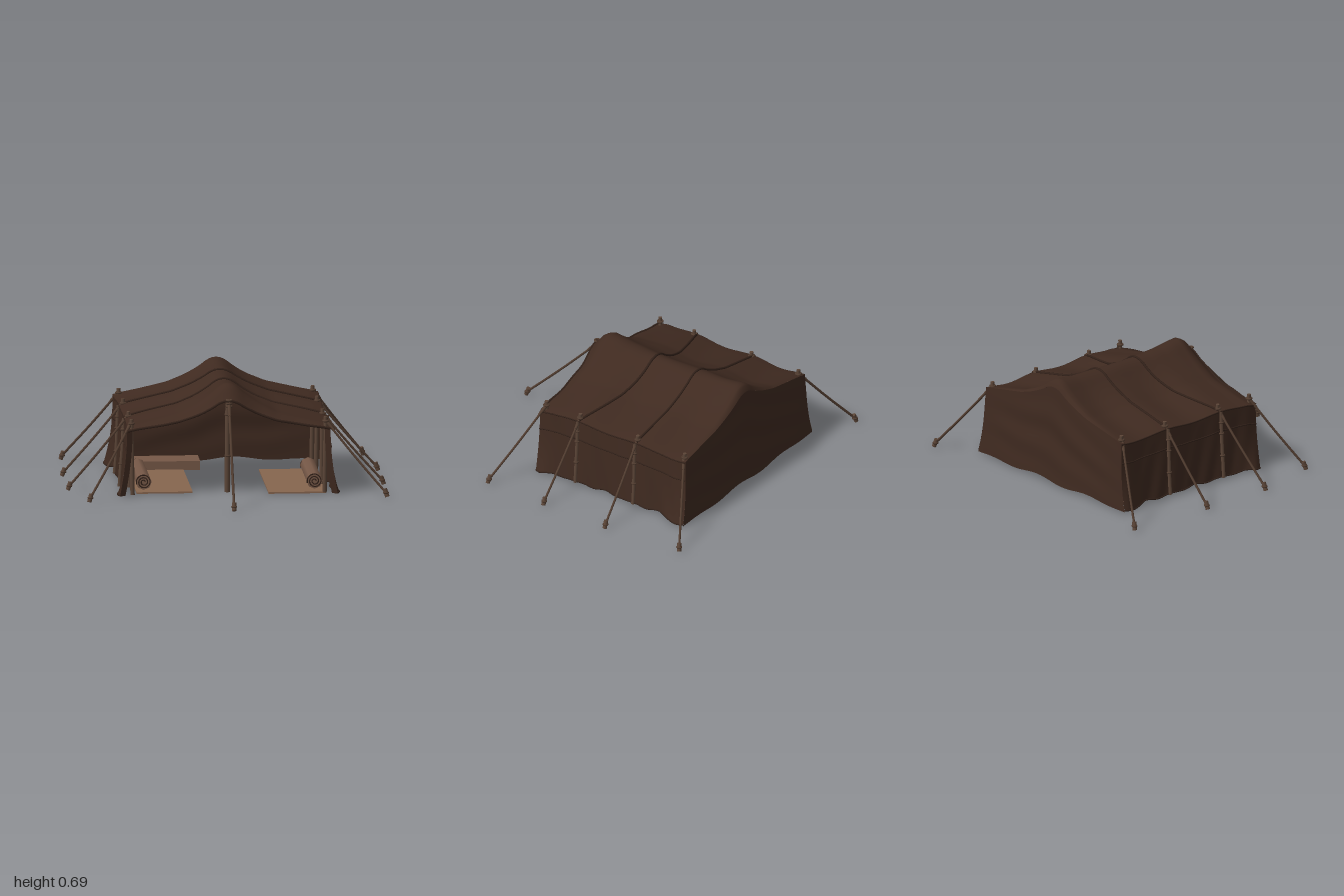
import * as THREE from 'three';

const mat = (name, hex, side = THREE.FrontSide) => {
  const m = new THREE.MeshStandardMaterial({ color: hex, side });
  m.name = name;
  return m;
};
const V = (x, y, z) => new THREE.Vector3(x, y, z);
const lerp = THREE.MathUtils.lerp;

// Piecewise linear lookup in a list of [key, value] pairs
function lookup(table, k) {
  for (let i = 1; i < table.length; i++) {
    const [k0, v0] = table[i - 1], [k1, v1] = table[i];
    if (k <= k1) return lerp(v0, v1, Math.max(0, (k - k0) / (k1 - k0)));
  }
  return table[table.length - 1][1];
}

const BACK = -0.757, FRONT = 0.36;
const RIDGE = [[-0.757, 0.64], [-0.745, 0.672], [-0.71, 0.685], [-0.58, 0.67], [-0.35, 0.66], [0, 0.662],
  [0.12, 0.672], [0.2, 0.69], [0.27, 0.70], [0.31, 0.675], [0.36, 0.605]];
const SLOPE = [[0, 1], [0.04, 0.99], [0.09, 0.93], [0.16, 0.78], [0.24, 0.64], [0.32, 0.52], [0.48, 0.33],
  [0.65, 0.22], [0.8, 0.13], [0.92, 0.06], [1, 0]];
const POLE_Z = [0.33, 0.07, -0.37, -0.73];

// Cloth surfaces as rules
const eaveY = z => 0.443 + 0.008 * Math.cos((z - 0.07) * 14.3) - (z > 0.3 ? (z - 0.3) * 0.35 : 0);
const wallX = (t, z) => {
  const corner = Math.exp(-(((z - 0.31) / 0.09) ** 2)) + Math.exp(-(((z + 0.7) / 0.09) ** 2));
  return 0.628 + 0.012 * corner + 0.018 * t + 0.04 * corner * t ** 3
    + 0.008 * Math.cos((z - 0.07) * 14.3) * (0.4 + 0.6 * t) + 0.004 * Math.sin(z * 47 + t * 5) * t;
};
function roofY(x, z) {
  const s = Math.min(1, Math.abs(x) / wallX(0, z));
  const e = eaveY(z);
  const sag = 0.008 * Math.sin(s * Math.PI) * Math.cos((z - 0.07) * 14.3);
  return e + (lookup(RIDGE, z) - e) * lookup(SLOPE, s) + sag;
}
const wallPoint = (side, t, z) => V(side * wallX(t, z), lerp(eaveY(z), 0.012 + 0.006 * Math.sin(z * 31), t),
  z - 0.02 * t * Math.max(0, (-z - 0.5) / 0.257));
// Outward bulge of the cloth at the front edge, s = -1..1 across
const frontZ = s => FRONT + 0.018 * (1 - Math.abs(s)) ** 3 + 0.004 * Math.sin(s * 17);

// Sheet from a rule of (u, v), both 0..1
function sheet(rule, nu, nv) {
  const pos = [], idx = [];
  for (let j = 0; j <= nv; j++)
    for (let i = 0; i <= nu; i++) pos.push(...rule(i / nu, j / nv).toArray());
  for (let j = 0; j < nv; j++)
    for (let i = 0; i < nu; i++) {
      const a = j * (nu + 1) + i, b = a + 1, c = a + nu + 1, d = c + 1;
      idx.push(a, c, b, b, c, d);
    }
  const g = new THREE.BufferGeometry();
  g.setAttribute('position', new THREE.Float32BufferAttribute(pos, 3));
  g.setIndex(idx);
  g.computeVertexNormals();
  return g;
}

export function createModel() {
  const model = new THREE.Group();
  const cloth = mat('dark woven cloth', 0x3f2a20, THREE.DoubleSide);
  const seam = mat('dark seam', 0x33221a);
  const wood = mat('pole wood', 0x5b4537);
  const rope = mat('rope', 0x523d30);
  const rug = mat('rug', 0x87664f);
  const bedding = mat('bedding', 0x765847);

  const add = (name, geo, material, parent = model) => {
    const m = new THREE.Mesh(geo, material);
    m.name = name;
    parent.add(m);
    return m;
  };
  const cord = (name, pts, r, material, parent) =>
    add(name, new THREE.TubeGeometry(new THREE.CatmullRomCurve3(pts), pts.length * 4, r, 6), material, parent);
  const rod = (name, a, b, r0, r1, material, parent) => {
    const m = add(name, new THREE.CylinderGeometry(r1, r0, a.distanceTo(b), 8), material, parent);
    m.position.copy(a).lerp(b, 0.5);
    m.quaternion.setFromUnitVectors(V(0, 1, 0), b.clone().sub(a).normalize());
    return m;
  };
  const knot = (p, r, parent) => {
    const m = add('ropeKnot', new THREE.TorusGeometry(r, r * 0.5, 6, 10), rope, parent);
    m.position.copy(p);
    m.rotation.x = Math.PI / 2;
  };
  const path = (n, rule) => Array.from({ length: n + 1 }, (_, i) => rule(i / n));

  // Roof, its front dropping to a shallow lip
  add('roof', sheet((u, v) => {
    const s = u * 2 - 1, z = lerp(BACK, FRONT, v), x = s * wallX(0, z);
    return V(x, roofY(x, z), z + (frontZ(s) - FRONT) * v ** 12);
  }, 56, 72), cloth);

  // Side walls
  for (const side of [1, -1]) {
    const name = side > 0 ? 'left' : 'right';
    add(name + 'Wall', sheet((u, v) => wallPoint(side, v, lerp(BACK, 0.36, u)), 48, 14), cloth);
    // Loose front corner turned inward
    add(name + 'FrontFlap', sheet((u, v) => {
      const p = wallPoint(side, v, 0.36);
      return V(p.x - side * u * 0.035, p.y, p.z - 0.015 * u);
    }, 4, 12), cloth);
    for (const [t, label] of [[0.01, 'EaveSeam'], [0.3, 'WallCord'], [0.99, 'Hem']])
      cord(name + label, path(28, k => wallPoint(side, t, lerp(BACK, 0.36, k))), 0.005, seam);
  }

  // Back wall with soft horizontal folds, bellying out towards the ground
  add('backWall', sheet((u, v) => {
    const s = u * 2 - 1, mid = 1 - s * s;
    const top = roofY(s * wallX(0, BACK), BACK);
    const bottom = 0.012 + 0.012 * mid * (1 + Math.sin(s * 9));
    const fold = 0.006 * mid * Math.sin(v * 15 + s * 4) * Math.sin(v * Math.PI);
    return V(s * wallX(v, BACK), lerp(top, bottom, v), BACK - (0.02 + 0.014 * mid) * v + fold);
  }, 48, 20), cloth);

  // Front lip hem
  cord('frontHem', path(40, k => {
    const s = k * 2 - 1, x = s * wallX(0, FRONT);
    return V(x, roofY(x, FRONT), frontZ(s));
  }), 0.008, seam);

  // Ropes laid over the roof
  for (const [z0, bow] of [[0.065, -0.14], [-0.375, -0.012]])
    cord('roofRope', path(40, k => {
      const s = k * 2 - 1, z = z0 + bow * (1 - Math.abs(s) ** 1.7), x = s * wallX(0, z);
      return V(x, roofY(x, z) + 0.003, z);
    }), 0.008, seam);

  // Side poles, inside and lashed outside the cloth
  for (const side of [1, -1])
    for (const z of POLE_Z) {
      const g = new THREE.Group();
      g.name = 'sidePole';
      model.add(g);
      rod('innerPole', V(side * 0.6, 0.01, z), V(side * 0.607, 0.49, z), 0.014, 0.012, wood, g);
      knot(V(side * 0.607, 0.462, z), 0.015, g);
      if (z < 0.3 && z > -0.7) {
        const pts = path(6, k => {
          const p = wallPoint(side, k, z);
          return V(p.x + side * 0.005, p.y, z);
        });
        cord('outerPole', pts, 0.012, wood, g);
        for (const k of [1, 2, 4]) knot(pts[k], 0.012, g);
      }
    }

  // Centre pole under the peak, lashing at the lip, and rear cross beam
  rod('centrePole', V(-0.005, 0.01, 0.275), V(0, 0.69, 0.27), 0.017, 0.014, wood);
  for (const y of [0.24, 0.5, 0.62]) knot(V(0, y, 0.272), 0.015);
  for (const y of [0.57, 0.59, 0.61]) knot(V(0, y, 0.378), 0.015);
  rod('crossBeam', V(-0.61, 0.437, -0.72), V(0.61, 0.437, -0.72), 0.012, 0.012, wood);

  // Guy lines with pegs: top point, then ground point
  const guys = [[0, 0.585, 0.38, -0.01, 0.92]];
  const ground = { '1': [[0.97, 0.51], [0.98, 0.08], [0.98, -0.39], [0.93, -0.92]],
    '-1': [[-0.88, 0.55], [-0.98, 0.13], [-0.98, -0.35], [-0.945, -0.92]] };
  for (const side of [1, -1])
    POLE_Z.forEach((z, i) => guys.push([side * 0.615, 0.455, z, ...ground[side][i]]));
  for (const [x, y, z, gx, gz] of guys) {
    const g = new THREE.Group();
    g.name = 'guyLine';
    model.add(g);
    const top = V(x, y, z), end = V(gx, 0.035, gz);
    const mid = top.clone().lerp(end, 0.5);
    mid.y -= 0.006;
    cord('line', [top, mid, end], 0.008, rope, g);
    const out = V(gx - x, 0, gz - z).normalize();
    rod('peg', end.clone().addScaledVector(out, 0.01).setY(0.01), end.clone().addScaledVector(out, -0.008).setY(0.06),
      0.014, 0.014, wood, g);
    knot(end, 0.013, g);
    rod('lashing', top, top.clone().lerp(end, 0.12), 0.012, 0.009, rope, g);
  }

  // Floor rugs and a low cushion
  const box = (name, x0, x1, y0, y1, z0, z1, material) => {
    const m = add(name, new THREE.BoxGeometry(x1 - x0, y1 - y0, z1 - z0), material);
    m.position.set((x0 + x1) / 2, (y0 + y1) / 2, (z0 + z1) / 2);
  };
  box('rightRug', -0.57, -0.22, 0.006, 0.016, -0.5, 0.28, rug);
  box('leftRug', 0.25, 0.61, 0.006, 0.016, -0.45, 0.34, rug);
  box('cushion', -0.57, -0.115, 0.012, 0.068, -0.68, -0.48, bedding);

  // Rolled bedding with a spiral at each end
  for (const [x, z0, z1] of [[-0.52, -0.35, 0.2], [0.545, -0.3, 0.24]]) {
    rod('bedroll', V(x, 0.066, z0), V(x, 0.066, z1), 0.05, 0.05, bedding);
    for (const z of [z0, z1])
      cord('rollSpiral', path(24, k => V(x + (0.008 + 0.04 * k) * Math.cos(k * 16),
        0.066 + (0.008 + 0.04 * k) * Math.sin(k * 16), z)), 0.004, seam);
  }
  return model;
}
